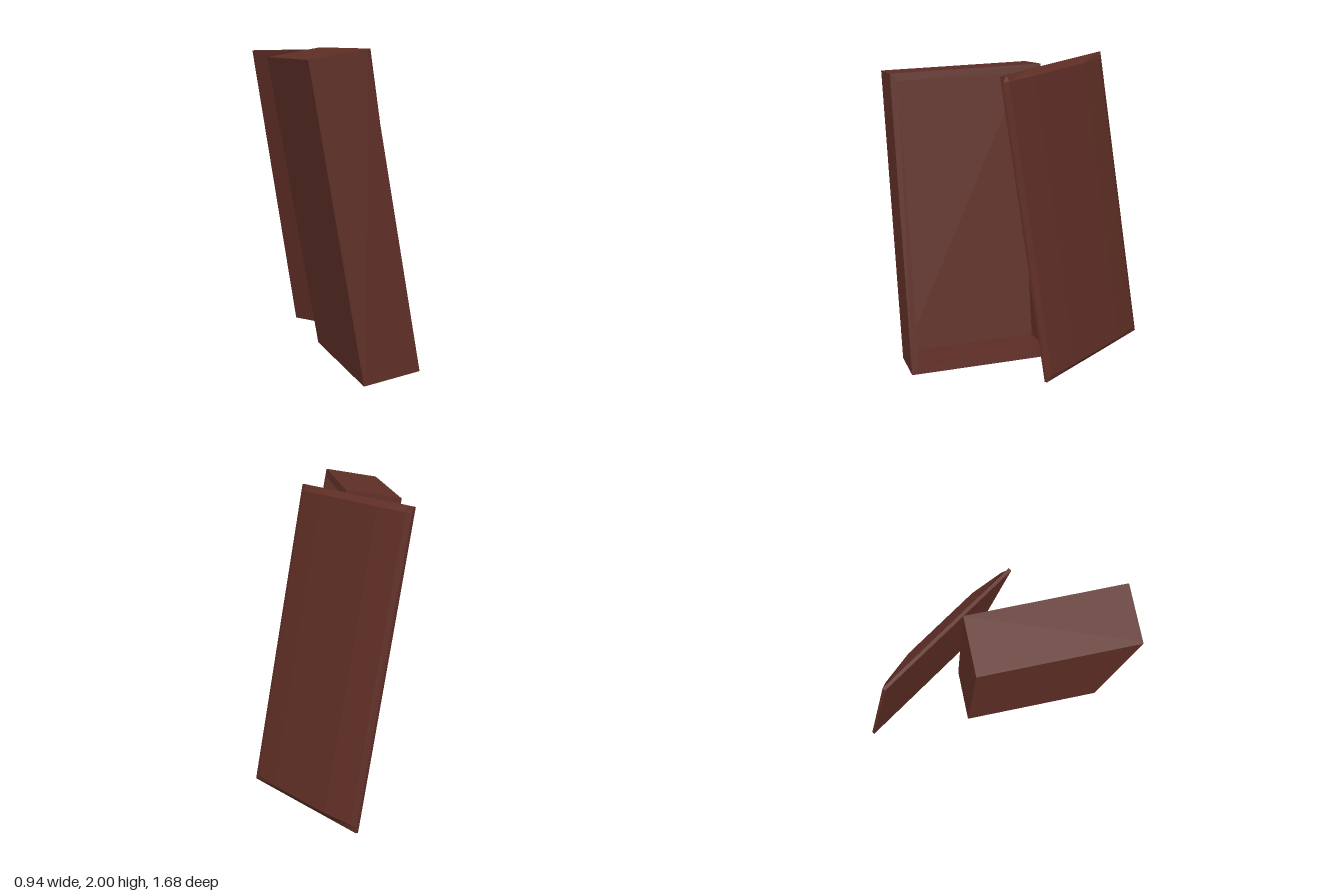
import * as THREE from 'three';

const wood = new THREE.MeshStandardMaterial({ color: 0x5e2e25 });
wood.name = 'dark red wood';

// Places an object by three local axes and an origin
function place(object, x, y, z, origin) {
  const m = new THREE.Matrix4().makeBasis(x, y, z).setPosition(origin);
  m.decompose(object.position, object.quaternion, object.scale);
}

function rectangle(PathType, x0, y0, x1, y1) {
  const p = new PathType();
  p.moveTo(x0, y0);
  p.lineTo(x1, y0);
  p.lineTo(x1, y1);
  p.lineTo(x0, y1);
  p.closePath();
  return p;
}

// Open crate: four walls with a thin back panel
function createCase() {
  const width = 0.97, length = 1.96, depth = 0.36, wall = 0.05, back = 0.01;
  const group = new THREE.Group();
  group.name = 'case';

  const frame = rectangle(THREE.Shape, -width / 2, 0, width / 2, length);
  frame.holes.push(rectangle(THREE.Path, -width / 2 + wall, wall, width / 2 - wall, length - wall));
  const walls = new THREE.Mesh(
    new THREE.ExtrudeGeometry(frame, { depth: depth - back, bevelEnabled: false }), wood);
  walls.name = 'caseWalls';
  walls.position.z = back;

  const panel = new THREE.Mesh(new THREE.BoxGeometry(width, length, back), wood);
  panel.name = 'caseBack';
  panel.position.set(0, length / 2, back / 2);
  group.add(walls, panel);

  // Leans towards -x, opening towards +x
  const a = 0.172, s = Math.sin(a), c = Math.cos(a);
  place(group, new THREE.Vector3(0, 0, -1), new THREE.Vector3(-s, c, 0),
    new THREE.Vector3(c, s, 0), new THREE.Vector3(-0.13, 0.01, 0.36));
  return group;
}

// Lid: flat inside, faceted outside, with bevelled ends
function createLid() {
  const length = 2.016, width = 1.01, edge = 0.02, bevel = 0.04;
  const across = [0, 0, bevel, 0.25, 0.76, width - bevel, width, width];
  const height = [0, edge, 0.035, 0.065, 0.065, 0.035, edge, 0];
  const stations = [0, bevel, length - bevel, length];
  const n = across.length;
  const positions = [], index = [];
  stations.forEach((u, s) => {
    const end = s === 0 || s === stations.length - 1;
    for (let i = 0; i < n; i++) {
      positions.push(u, across[i], end ? Math.min(height[i], edge) : height[i]);
    }
  });
  for (let s = 0; s < stations.length - 1; s++) {
    for (let i = 0; i < n; i++) {
      const j = (i + 1) % n, a = s * n + i, b = s * n + j, c = a + n, d = b + n;
      index.push(a, c, b, b, c, d);
    }
  }
  // End caps
  const last = (stations.length - 1) * n;
  for (let i = 1; i < n - 1; i++) {
    index.push(0, i, i + 1);
    index.push(last, last + i + 1, last + i);
  }
  let geometry = new THREE.BufferGeometry();
  geometry.setAttribute('position', new THREE.Float32BufferAttribute(positions, 3));
  geometry.setIndex(index);
  geometry = geometry.toNonIndexed();
  geometry.computeVertexNormals();

  const lid = new THREE.Mesh(geometry, wood);
  lid.name = 'lid';
  // Leans against the rim of the case, turned aside
  const u = new THREE.Vector3(-0.174, 0.98, 0.095).normalize();
  const w = new THREE.Vector3(0.553, 0.017, 0.833);
  w.addScaledVector(u, -w.dot(u)).normalize();
  const out = new THREE.Vector3().crossVectors(u, w);
  place(lid, u, w, out, new THREE.Vector3(-0.096, 0, -0.829));
  return lid;
}

export function createModel() {
  const model = new THREE.Group();
  model.name = 'openCrate';
  model.add(createCase(), createLid());
  return model;
}
